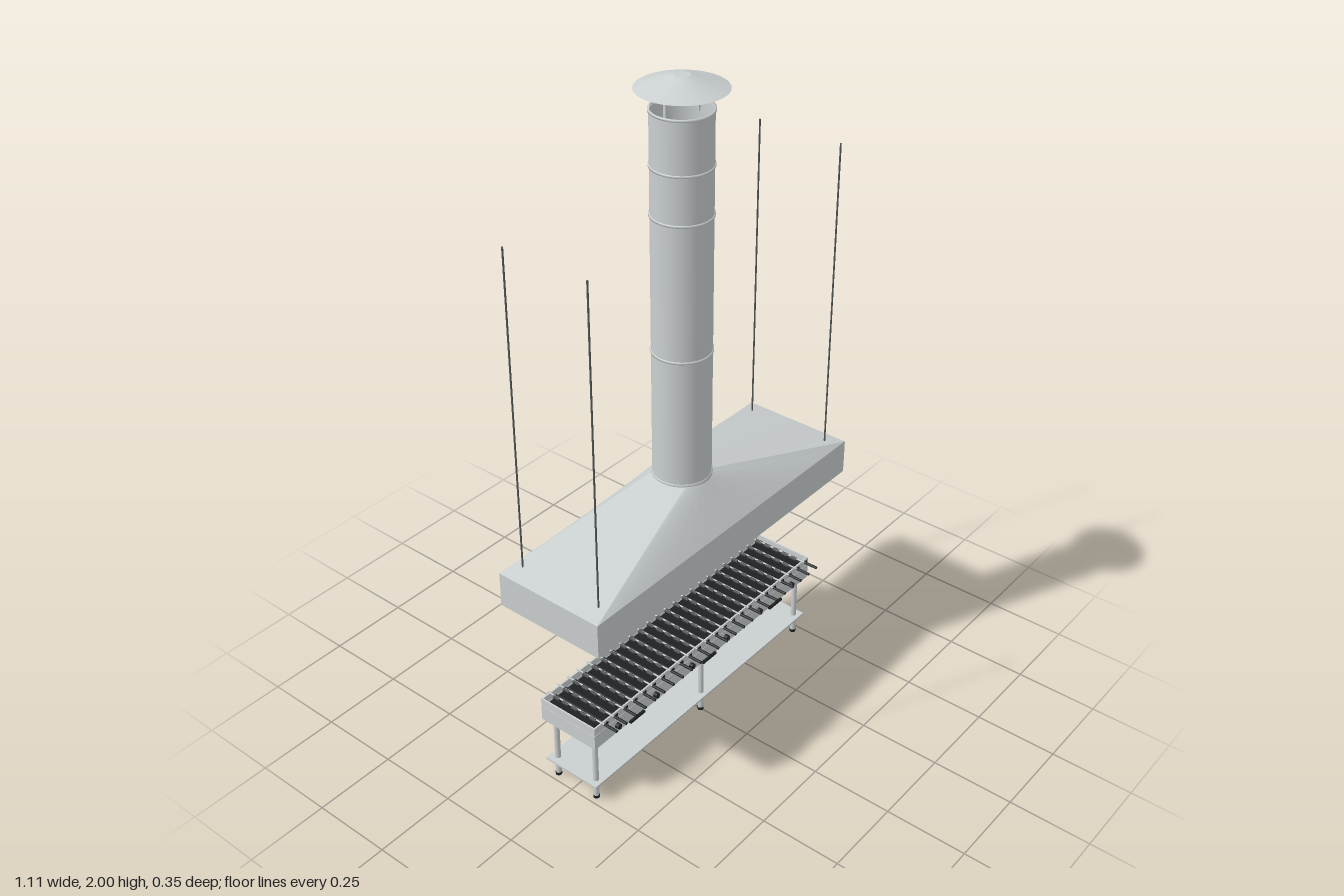
import * as THREE from 'three';
import { mergeGeometries } from 'three/addons/utils/BufferGeometryUtils.js';

const mat = (name, color, side = THREE.FrontSide) => {
  const m = new THREE.MeshStandardMaterial({ color, side });
  m.name = name;
  return m;
};

export function createModel() {
  const steel = mat('brushed steel', 0xcacfd0);
  const sheet = mat('sheet steel', 0xcacfd0, THREE.DoubleSide);
  const rodGrey = mat('rod grey', 0x55585a);
  const black = mat('black', 0x1e2022);
  const charcoal = mat('charcoal', 0x3a3c3e);

  const root = new THREE.Group();
  root.name = 'grillWithHood';
  const group = (name) => {
    const g = new THREE.Group();
    g.name = name;
    root.add(g);
    return g;
  };
  const add = (parent, name, geo, m, x = 0, y = 0, z = 0) => {
    const mesh = new THREE.Mesh(geo, m);
    mesh.name = name;
    mesh.position.set(x, y, z);
    parent.add(mesh);
    return mesh;
  };
  const box = (p, name, w, h, d, m, x, y, z) => add(p, name, new THREE.BoxGeometry(w, h, d), m, x, y, z);
  const rod = (p, name, r, y0, y1, m, x, z, n = 12) =>
    add(p, name, new THREE.CylinderGeometry(r, r, y1 - y0, n), m, x, (y0 + y1) / 2, z);
  const rodZ = (p, name, r, z0, z1, m, x, y, n = 8) => {
    const g = new THREE.CylinderGeometry(r, r, z1 - z0, n).rotateX(Math.PI / 2);
    return add(p, name, g, m, x, y, (z0 + z1) / 2);
  };
  // Four upright walls around a rectangle
  const walls = (p, name, hx, hz, y0, y1, t, m) => {
    const y = (y0 + y1) / 2, h = y1 - y0;
    for (const s of [-1, 1]) {
      box(p, name + 'Long', hx * 2, h, t, m, 0, y, s * (hz - t / 2));
      box(p, name + 'End', t, h, (hz - t) * 2, m, s * (hx - t / 2), y, 0);
    }
  };

  // Hood: skirt and a rectangle-to-round transition
  const hood = group('hood');
  const HX = 0.557, HZ = 0.175, R = 0.083;
  walls(hood, 'hoodSkirt', HX, HZ, 0.622, 0.729, 0.006, steel);
  const side = (hx, hz, turn) => {
    const N = 12, pos = [], idx = [];
    for (let i = 0; i <= N; i++) {
      const t = (2 * i) / N - 1, a = (t * Math.PI) / 4;
      pos.push(hx, 0.729, hz * t, R * Math.cos(a), 0.845, R * Math.sin(a));
      if (i < N) idx.push(2 * i, 2 * i + 1, 2 * i + 2, 2 * i + 1, 2 * i + 3, 2 * i + 2);
    }
    const g = new THREE.BufferGeometry();
    g.setAttribute('position', new THREE.Float32BufferAttribute(pos, 3));
    g.setIndex(idx);
    g.computeVertexNormals();
    return g.rotateY((turn * Math.PI) / 2);
  };
  const slopes = [0, 1, 2, 3].map((k) => (k % 2 ? side(HZ, HX, k) : side(HX, HZ, k)));
  add(hood, 'hoodSlopes', mergeGeometries(slopes), sheet);

  // Underside: ceiling, latticed filter panels and light slots
  box(hood, 'hoodCeiling', HX * 2 - 0.012, 0.004, HZ * 2 - 0.012, steel, 0, 0.722, 0);
  for (let i = 0; i < 5; i++) {
    const x = (i - 2) * 0.192;
    box(hood, 'filterPanel', 0.186, 0.008, 0.25, charcoal, x, 0.714, 0);
    for (const s of [-1, 1]) {
      box(hood, 'filterFrameSide', 0.005, 0.005, 0.25, black, x + s * 0.0905, 0.708, 0);
      box(hood, 'filterFrameEnd', 0.186, 0.005, 0.005, steel, x, 0.708, s * 0.1225);
    }
    for (let k = 1; k < 9; k++) box(hood, 'filterSlat', 0.005, 0.003, 0.24, steel, x - 0.09 + k * 0.02, 0.709, 0);
    for (let k = 1; k < 12; k++) box(hood, 'filterCrossBar', 0.176, 0.003, 0.005, steel, x, 0.7085, -0.12 + k * 0.02);
  }
  for (const x of [-0.33, 0, 0.33]) box(hood, 'lightSlot', 0.13, 0.01, 0.004, black, x, 0.695, HZ - 0.008);

  // Hanging rods
  for (const x of [-0.507, 0.507]) for (const z of [-0.135, 0.135])
    rod(hood, 'hangingRod', 0.0025, 0.732, 1.69, rodGrey, x, z, 8);

  // Flue with raised seams and rain cap
  const flue = group('flue');
  add(flue, 'fluePipe', new THREE.CylinderGeometry(R, R, 1.071, 48, 1, true), sheet, 0, 1.3805, 0);
  for (const [y, h] of [[0.846, 0.01], [1.237, 0.006], [1.632, 0.006], [1.767, 0.006], [1.913, 0.006]])
    add(flue, 'flueSeam', new THREE.LatheGeometry(
      [[0.081, -h / 2], [0.086, -h / 2], [0.086, h / 2], [0.081, h / 2]].map((p) => new THREE.Vector2(...p)), 48),
    sheet, 0, y, 0);
  for (const x of [-0.065, 0.065]) box(flue, 'capStrut', 0.005, 0.085, 0.007, steel, x, 1.929, 0);
  add(flue, 'rainCap', new THREE.CylinderGeometry(0.022, 0.121, 0.033, 48, 1, true), sheet, 0, 1.9835, 0);
  add(flue, 'capTop', new THREE.CircleGeometry(0.022, 48).rotateX(-Math.PI / 2), sheet, 0, 2, 0);

  // Table: legs, feet and shelf
  const table = group('table');
  for (const x of [-0.475, 0, 0.475]) for (const z of [-0.073, 0.073]) {
    rod(table, 'leg', 0.0085, 0.008, 0.218, steel, x, z, 16);
    rod(table, 'foot', 0.0095, 0, 0.009, black, x, z, 16);
  }
  box(table, 'shelf', 1.0, 0.006, 0.19, steel, 0, 0.064, 0);

  // Grill trough: lower body, recessed joint, upper rim and bed
  const grill = group('grill');
  walls(grill, 'grillBody', 0.503, 0.1, 0.215, 0.264, 0.006, steel);
  walls(grill, 'rimJoint', 0.502, 0.099, 0.264, 0.268, 0.005, steel);
  walls(grill, 'grillRim', 0.503, 0.1, 0.268, 0.291, 0.005, steel);
  box(grill, 'grillFloor', 0.994, 0.005, 0.188, steel, 0, 0.219, 0);
  box(grill, 'coalBed', 0.99, 0.006, 0.186, black, 0, 0.262, 0);

  // Skewers with dark handles and spaced pieces, resting over a ribbed grate
  for (let i = 0; i < 24; i++) {
    const x = -0.4715 + i * 0.041;
    rodZ(grill, 'skewer', 0.0026, -0.104, 0.112, steel, x, 0.293, 6);
    rodZ(grill, 'skewerHandle', 0.0042, 0.11, 0.155, black, x, 0.294);
    for (let k = 0; k < 5; k++) {
      const z = -0.068 + k * 0.034;
      rodZ(grill, 'skewerPiece', 0.0065, z - 0.011, z + 0.011, charcoal, x, 0.289);
    }
    box(grill, 'grateBar', 0.006, 0.008, 0.186, charcoal, x + 0.0205, 0.27, 0);
    box(grill, 'rimNotch', 0.009, 0.008, 0.003, black, x + 0.0205, 0.28, 0.1);
  }

  // Front controls and drawer pulls
  for (const x of [-0.41, -0.245, -0.082, 0.082, 0.245, 0.41]) {
    rodZ(grill, 'knob', 0.0085, 0.1, 0.112, black, x, 0.242, 16);
    box(grill, 'knobGrip', 0.003, 0.014, 0.004, black, x, 0.242, 0.113);
  }
  for (const x of [-0.328, 0, 0.328]) box(grill, 'drawerPull', 0.062, 0.007, 0.009, black, x, 0.217, 0.103);

  return root;
}
